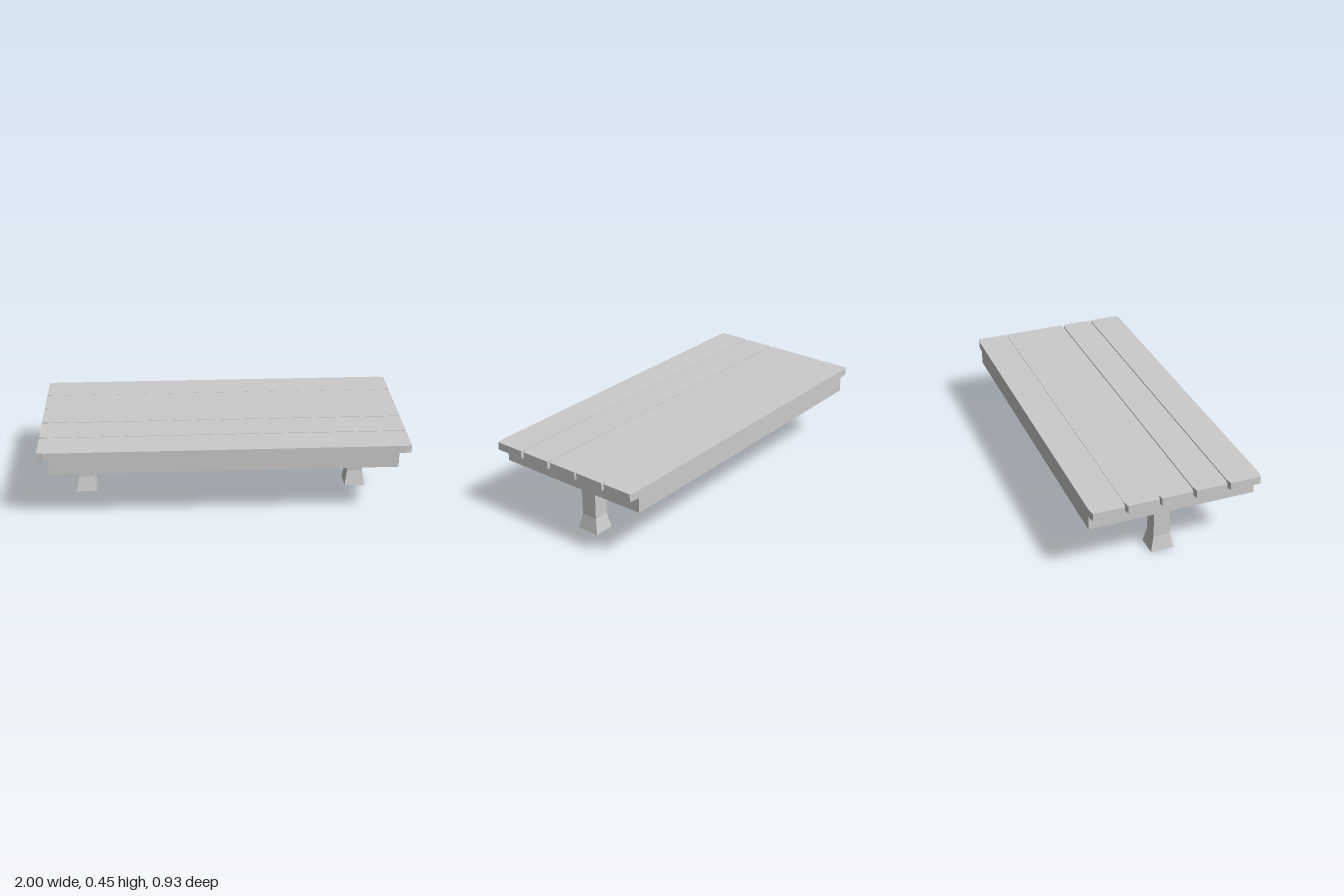
import * as THREE from 'three';

const material = new THREE.MeshStandardMaterial({ color: 0xcccccc, flatShading: true });

function addMesh(parent, name, geometry, x, y, z) {
  const mesh = new THREE.Mesh(geometry, material);
  mesh.name = name;
  mesh.position.set(x, y, z);
  parent.add(mesh);
}

// Board with slightly clipped corners, lying flat with its underside at y = 0
function plankGeometry(length, width, thickness) {
  const hx = length / 2, hz = width / 2, cx = 0.037, cz = 0.0075;
  const outline = [
    [-hx + cx, -hz], [hx - cx, -hz], [hx, -hz + cz], [hx, hz - cz],
    [hx - cx, hz], [-hx + cx, hz], [-hx, hz - cz], [-hx, -hz + cz],
  ].map(([x, y]) => new THREE.Vector2(x, y));
  const geometry = new THREE.ExtrudeGeometry(new THREE.Shape(outline), { depth: thickness, bevelEnabled: false });
  return geometry.rotateX(-Math.PI / 2);
}

// Square post whose lowest part flares out to a wider foot
function legGeometry(height, flareHeight) {
  const geometry = new THREE.BoxGeometry(1, 2, 1, 1, 2, 1);
  const p = geometry.attributes.position;
  for (let i = 0; i < p.count; i++) {
    const level = Math.round(p.getY(i)) + 1;
    const foot = level === 0;
    p.setXYZ(i,
      p.getX(i) * (foot ? 0.115 : 0.086),
      [0, flareHeight, height][level],
      p.getZ(i) * (foot ? 0.129 : 0.092));
  }
  geometry.computeVertexNormals();
  return geometry;
}

export function createModel() {
  const model = new THREE.Group();
  model.name = 'plankTable';

  // Top boards, spaced slightly unevenly
  const plank = plankGeometry(2, 0.1835, 0.043);
  [0.3725, 0.184, -0.0045, -0.1865, -0.3715].forEach((z, i) =>
    addMesh(model, `plank${i + 1}`, plank, 0, 0.411, z));

  // Solid base under the boards
  addMesh(model, 'base', new THREE.BoxGeometry(1.877, 0.088, 0.912), -0.0025, 0.367, -0.003);

  // Two central legs
  const leg = legGeometry(0.323, 0.086);
  addMesh(model, 'leftLeg', leg, 0.771, 0, -0.005);
  addMesh(model, 'rightLeg', leg, -0.775, 0, -0.005);

  return model;
}
